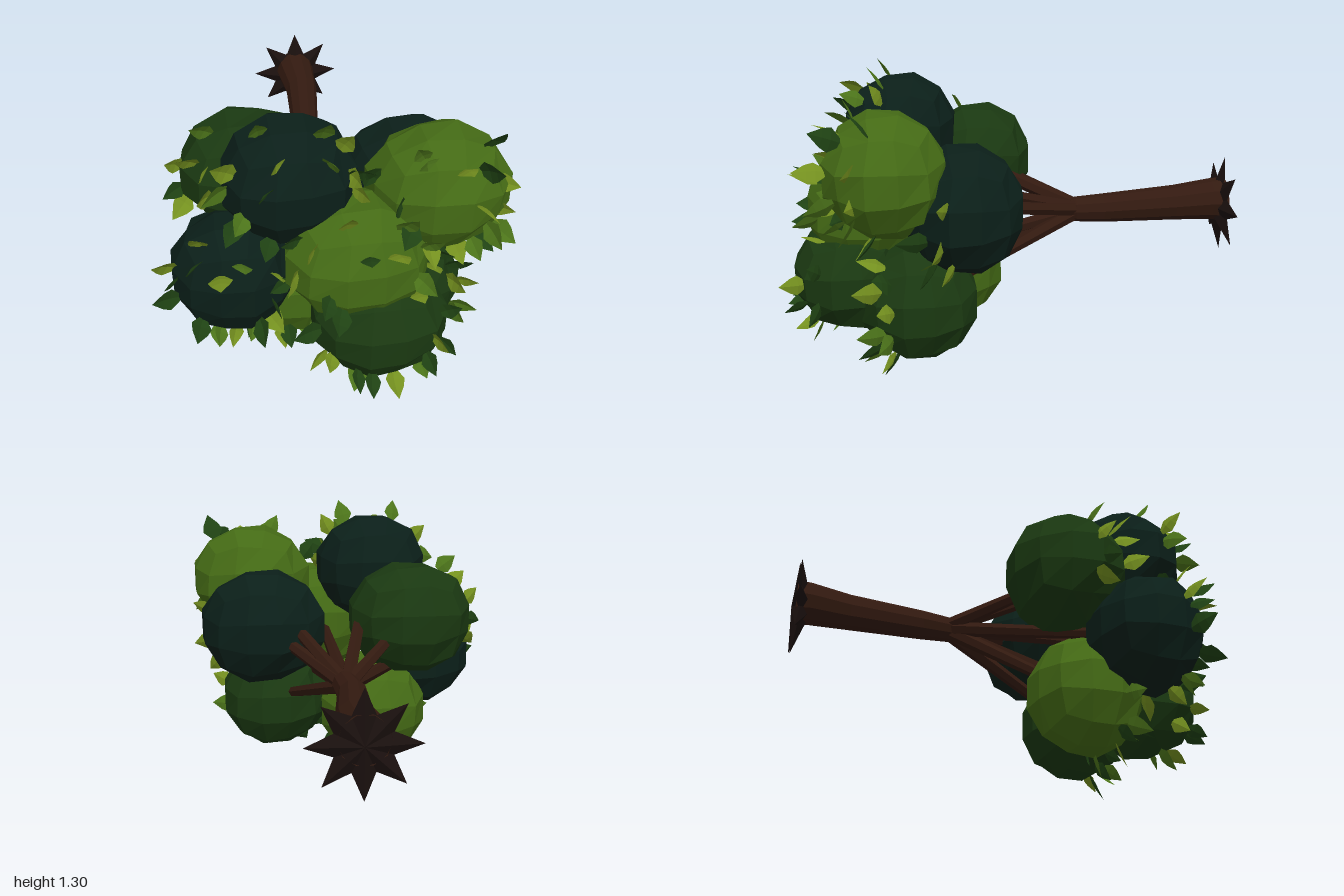
import * as THREE from 'three';
import { mergeGeometries } from 'three/addons/utils/BufferGeometryUtils.js';

const V = (x, y, z) => new THREE.Vector3(x, y, z);
const material = (color) => new THREE.MeshStandardMaterial({ color, flatShading: true, roughness: 0.9, side: THREE.DoubleSide });

const LIGHT = 0x446a15, GREEN = 0x1a3811, TEAL = 0x0b1f19, BARK = 0x331a10;

// foliage clumps: centre, radii, colour, angles (degrees) of the leaves around the rim
const CLUMPS = [
  [V(-0.15, 1.0, 0.48), V(0.275, 0.26, 0.26), TEAL, [115, 62, 153, 170, 18, 40, 215]],
  [V(0.44, 0.945, 0.53), V(0.295, 0.26, 0.25), LIGHT, [112, 52, 17, -15, -36, -58, -76, 160]],
  [V(-0.38, 0.55, 0.46), V(0.27, 0.265, 0.255), TEAL, [162, 194, 248, 270, 298, 75, 120]],
  [V(0.1, 0.72, 0.635), V(0.3, 0.27, 0.265), LIGHT, [105, 55, 22, 5, 145, 200]],
  [V(0.185, 0.44, 0.7), V(0.285, 0.25, 0.255), GREEN, [68, 20, -15, -50, 215, 255, 170]],
  [V(0.34, 0.365, 0.41), V(0.27, 0.26, 0.25), GREEN, [38, 10, -22, -58, -85, 243, 225]],
  [V(-0.135, 0.34, 0.275), V(0.265, 0.27, 0.26), LIGHT, [230, 258, 281, 312, 195, 335]],
  [V(-0.29, 0.83, 0.13), V(0.295, 0.26, 0.27), GREEN, [148, 168, 187, 205, 120]],
  [V(0.39, 0.78, 0.22), V(0.3, 0.27, 0.255), TEAL, [-20, -42, -65, 15]],
];

let seed = 7;
const rand = (min, max) => {
  seed = (seed * 16807) % 2147483647;
  return min + (max - min) * seed / 2147483647;
};

// faceted ball made by rounding a subdivided box
function clumpGeometry(radii, phase) {
  const g = new THREE.BoxGeometry(2, 2, 2, 3, 3, 3);
  const p = g.attributes.position, v = V(0, 0, 0);
  for (let i = 0; i < p.count; i++) {
    v.fromBufferAttribute(p, i);
    v.set(...v.toArray().map((c) => Math.tan(c * Math.PI / 4))).normalize();
    // small bumps depending only on position, so seams stay closed
    const bump = 1 + 0.03 * Math.sin(v.x * 9 + v.y * 13 + v.z * 7 + phase);
    v.multiply(radii).multiplyScalar(bump);
    p.setXYZ(i, v.x, v.y, v.z);
  }
  g.computeVertexNormals();
  return g;
}

// pointed leaf folded along its midrib, growing along +y and curling toward +z
function leafGeometry() {
  const rows = [[0.016, 0, 0], [0.045, 0.038, 0.003], [0.034, 0.07, 0.012], [0, 0.12, 0.034]];
  const pos = [], index = [];
  rows.forEach(([w, y, z]) => pos.push(-w, y, z + w * 0.25, 0, y, z, w, y, z + w * 0.25));
  for (let r = 0; r < 3; r++) for (let c = 0; c < 2; c++) {
    const a = r * 3 + c;
    index.push(a, a + 1, a + 4, a, a + 4, a + 3);
  }
  const g = new THREE.BufferGeometry();
  g.setAttribute('position', new THREE.Float32BufferAttribute(pos, 3));
  g.setIndex(index);
  g.computeVertexNormals();
  return g;
}

// tapered rod between two points
function rod(a, b, ra, rb, sides) {
  const d = b.clone().sub(a);
  const g = new THREE.CylinderGeometry(rb, ra, d.length(), sides);
  g.applyQuaternion(new THREE.Quaternion().setFromUnitVectors(V(0, 1, 0), d.normalize()));
  const m = a.clone().add(b).multiplyScalar(0.5);
  return g.translate(m.x, m.y, m.z);
}

// trunk swept through rings along z: [x, y, z, radius]
function trunkGeometry() {
  const rings = [[0.058, 0.69, -0.985, 0.1], [0.057, 0.692, -0.92, 0.093], [0.066, 0.682, -0.75, 0.079],
    [0.04, 0.657, -0.43, 0.065], [0.058, 0.66, -0.3, 0.056], [0.058, 0.66, -0.22, 0.03]];
  const n = 10, pos = [], index = [];
  rings.forEach(([x, y, z, r]) => {
    for (let i = 0; i < n; i++) {
      const t = i / n * Math.PI * 2;
      pos.push(x + Math.cos(t) * r, y + Math.sin(t) * r, z);
    }
  });
  for (let k = 0; k < rings.length - 1; k++) for (let i = 0; i < n; i++) {
    const a = k * n + i, b = k * n + (i + 1) % n;
    index.push(a, b, b + n, a, b + n, a + n);
  }
  const g = new THREE.BufferGeometry();
  g.setAttribute('position', new THREE.Float32BufferAttribute(pos, 3));
  g.setIndex(index);
  g.computeVertexNormals();
  return g;
}

export function createModel() {
  const model = new THREE.Group();
  const add = (name, geometry, color) => {
    const mesh = new THREE.Mesh(geometry, material(color));
    mesh.name = name;
    model.add(mesh);
    return mesh;
  };

  // trunk and a branch to every clump
  add('trunk', trunkGeometry(), BARK);
  const fork = V(0.055, 0.66, -0.33);
  add('branches', mergeGeometries(CLUMPS.map(([c]) => rod(fork, c, 0.034, 0.022, 6))), BARK);

  // star of eight broad pointed roots
  const roots = [];
  for (let i = 0; i < 8; i++) {
    const g = new THREE.ConeGeometry(0.09, 0.22, 4).translate(0, 0.11, 0);
    g.scale(1, 1, 0.5).rotateX(-0.13).rotateZ(i / 8 * Math.PI * 2).translate(0.06, 0.67, -0.954);
    roots.push(g);
  }
  add('roots', mergeGeometries(roots), 0x1a100e);

  // foliage clumps
  CLUMPS.forEach(([c, r, color], k) => add('foliageClump', clumpGeometry(r, k * 1.7), color).position.copy(c));

  const leafColors = [0x74901f, 0x4c741a, 0x1f4213];
  const leaves = [[], [], []];
  const base = leafGeometry(), z = V(0, 0, 1);
  // one leaf on clump k, at an angle around it and a height nz toward the crown
  const addLeaf = (k, angle, nz, lean) => {
    const [c, r] = CLUMPS[k];
    const s = Math.sqrt(1 - nz * nz);
    const p = V(Math.cos(angle) * s, Math.sin(angle) * s, nz).multiply(r).multiplyScalar(0.95).add(c);
    if (CLUMPS.some(([oc, or], j) => j !== k && p.clone().sub(oc).divide(or).length() < 0.95)) return;
    const turn = angle + rand(-0.5, 0.5);
    const up = V(Math.cos(turn), Math.sin(turn), lean).normalize();
    const size = rand(0.8, 1.12);
    // keep tips within the crown's outline
    const tip = p.clone().addScaledVector(up, 0.12 * size);
    p.add(tip.clone().clamp(V(-0.73, 0.002, -1), V(0.73, 1.345, 0.985)).sub(tip));
    const side = up.clone().cross(z).normalize();
    const g = base.clone().scale(size, size, size).rotateY(rand(-0.4, 0.4));
    g.applyMatrix4(new THREE.Matrix4().makeBasis(side, up, side.clone().cross(up)).setPosition(p));
    leaves[Math.floor(rand(0, 3))].push(g);
  };
  CLUMPS.forEach(([, , , rim], k) => {
    // rim leaves point outward, face leaves stand on the crown side
    rim.forEach((deg) => addLeaf(k, deg * Math.PI / 180, rand(0.15, 0.5), rand(0.15, 0.4)));
    for (let i = 0; i < 9; i++) addLeaf(k, i * 2.4 + k, rand(0.4, 0.92), rand(0.9, 1.8));
  });
  leaves.forEach((list, i) => add('leaves', mergeGeometries(list), leafColors[i]));

  return model;
}
